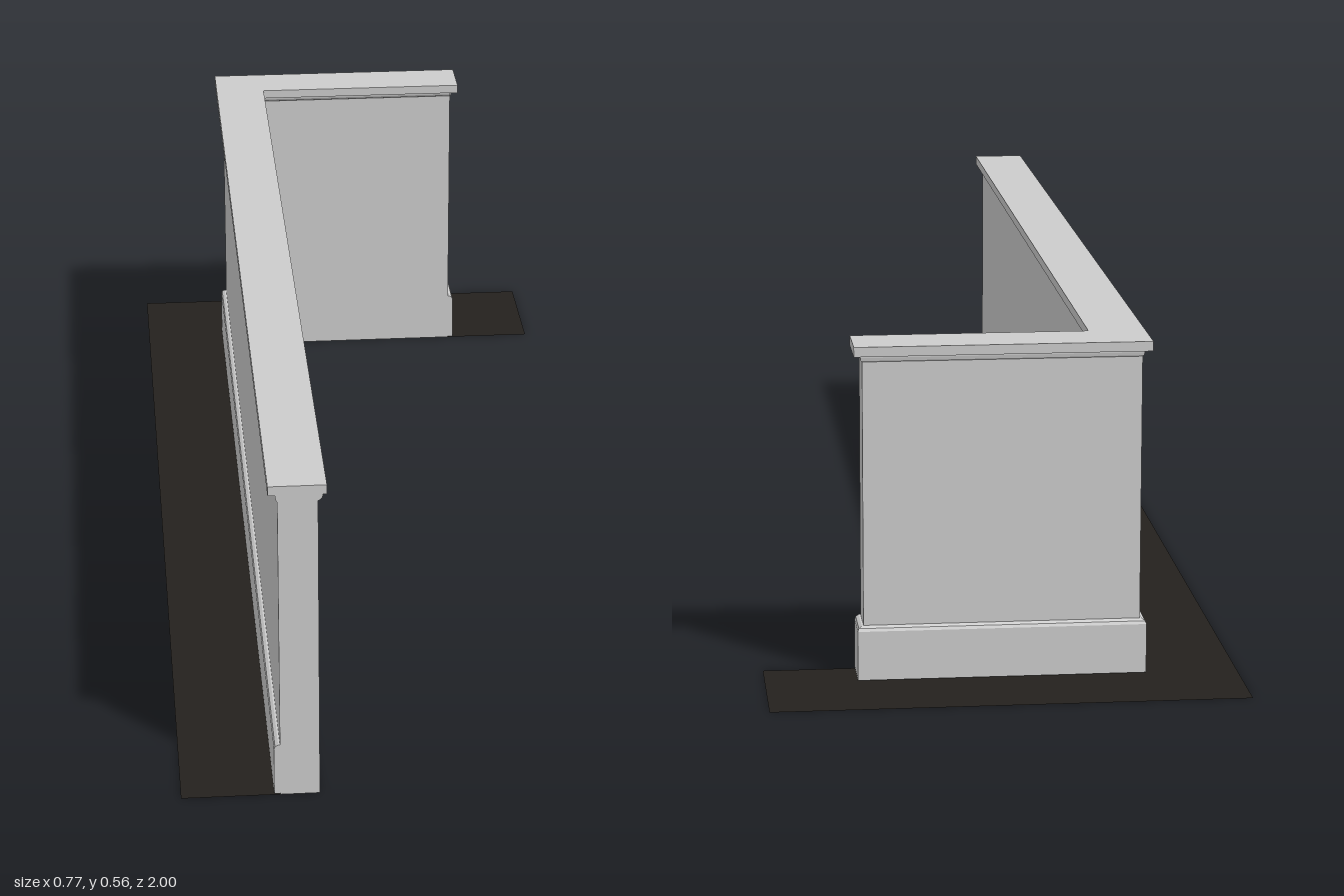
import * as THREE from 'three';

const grey = new THREE.MeshStandardMaterial({ color: 0xcccccc });
const dark = new THREE.MeshStandardMaterial({ color: 0x24211d, side: THREE.DoubleSide });

// Flat outline given as [x, z] corners
function outline(points) {
  return new THREE.Shape(points.map(([x, z]) => new THREE.Vector2(x, -z)));
}

// Sweeps a [offset, height] profile along mitred stations [x, z, outX, outZ]
function sweep(stations, profile) {
  const rings = stations.map(([x, z, ox, oz]) =>
    profile.map(([o, h]) => [x + ox * o, h, z + oz * o]));
  const pos = [];
  const tri = (a, b, c) => pos.push(...a, ...b, ...c);
  for (let i = 0; i < rings.length - 1; i++) {
    for (let j = 0; j < profile.length - 1; j++) {
      const a = rings[i][j], b = rings[i][j + 1];
      const c = rings[i + 1][j], d = rings[i + 1][j + 1];
      tri(a, b, c);
      tri(b, d, c);
    }
  }
  const first = rings[0], last = rings[rings.length - 1];
  for (let j = 1; j < profile.length - 1; j++) {
    tri(first[0], first[j + 1], first[j]);
    tri(last[0], last[j], last[j + 1]);
  }
  const geo = new THREE.BufferGeometry();
  geo.setAttribute('position', new THREE.Float32BufferAttribute(pos, 3));
  geo.computeVertexNormals();
  return geo;
}

export function createModel() {
  const group = new THREE.Group();
  const add = (name, geo, mat = grey) => {
    const mesh = new THREE.Mesh(geo, mat);
    mesh.name = name;
    group.add(mesh);
    return mesh;
  };

  // Wall faces: outer left/back, inner left/back, free end of the short arm
  const xo = -0.226, xi = -0.162, zo = -0.842, zi = -0.777, xe = 0.226;

  // L-shaped half wall
  const wall = new THREE.ExtrudeGeometry(
    outline([[xo, 1], [xi, 1], [xi, zi], [xe, zi], [xe, zo], [xo, zo]]),
    { depth: 0.54, bevelEnabled: false });
  add('wall', wall.rotateX(-Math.PI / 2));

  // Skirting around the outer faces and the short end
  const outer = [[xo, 1, -1, 0], [xo, zo, -1, -1], [xe, zo, 1, -1], [xe, zi, 1, 0]];
  add('skirting', sweep(outer,
    [[0, 0.002], [0.01, 0.002], [0.01, 0.084], [0.008, 0.089], [0.003, 0.092], [0, 0.092]]));

  // Mouldings tucked under the cap
  add('outerMoulding', sweep(outer,
    [[0, 0.529], [0.002, 0.531], [0.003, 0.536], [0.003, 0.54], [0, 0.54]]));
  const inner = [[xe, zi, 0, 1], [xi, zi, 1, 1], [xi, 1, 1, 0]];
  add('innerMoulding', sweep(inner,
    [[0, 0.529], [0.004, 0.531], [0.007, 0.535], [0.008, 0.54], [0, 0.54]]));

  // Cap boards, butted at the corner
  const board = (name, x0, x1, z0, z1) =>
    add(name, new THREE.BoxGeometry(x1 - x0, 0.016, z1 - z0))
      .position.set((x0 + x1) / 2, 0.548, (z0 + z1) / 2);
  board('longCap', -0.241, -0.148, -0.856, 1);
  board('shortCap', -0.148, 0.24, -0.856, -0.764);

  // Dark floor strip along the outside
  const floor = new THREE.ShapeGeometry(outline([
    [-0.387, 1], [xo, 1], [xo, zo], [xe, zo], [xe, zi], [0.387, zi], [0.387, -1], [-0.387, -1]]));
  add('floorStrip', floor.rotateX(-Math.PI / 2), dark);

  return group;
}
